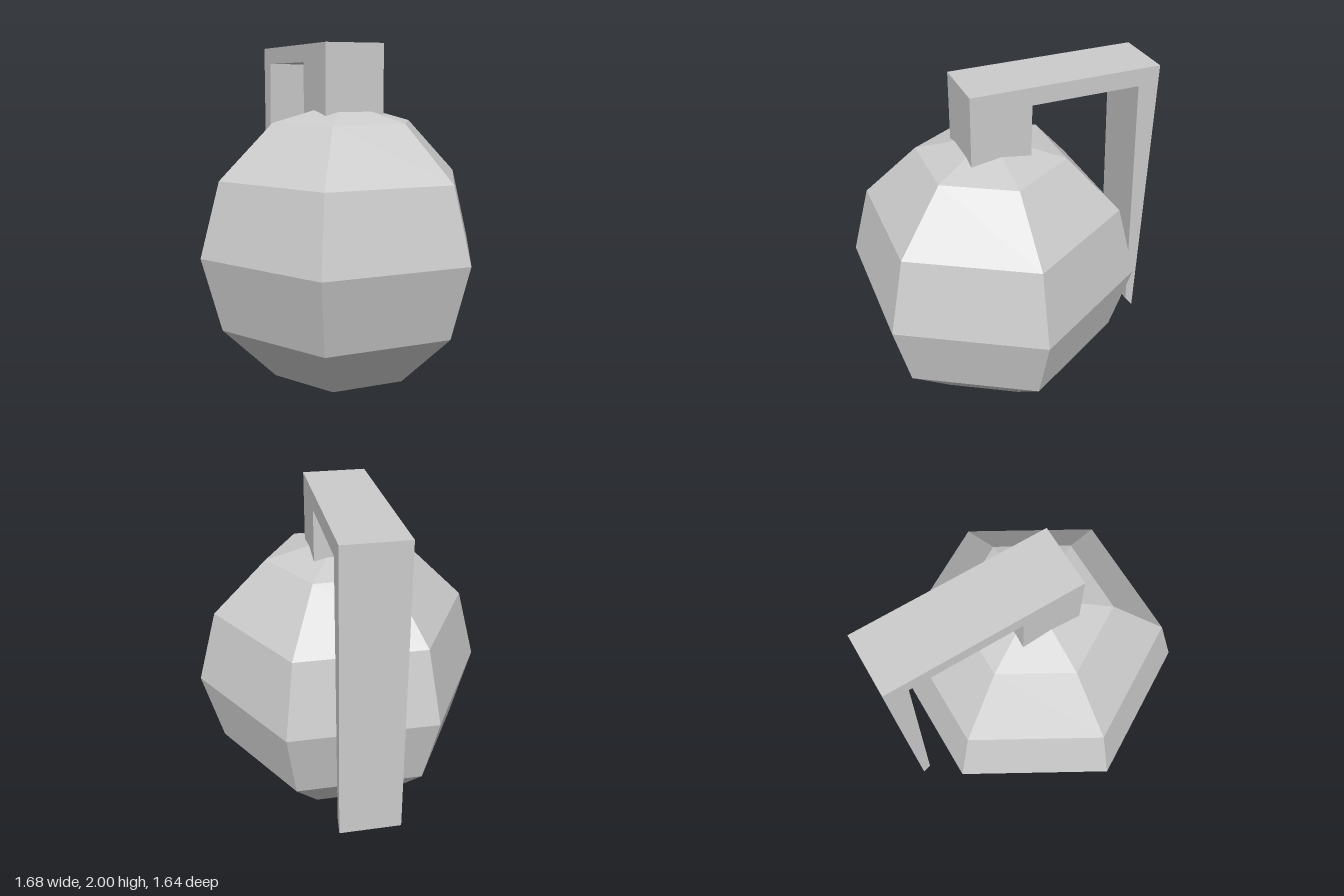
import * as THREE from 'three';

export function createModel() {
  const group = new THREE.Group();
  const material = new THREE.MeshStandardMaterial({ color: 0xcccccc, flatShading: true });

  // Six-sided low-poly body
  const radius = 0.84;
  const body = new THREE.Mesh(new THREE.SphereGeometry(radius, 6, 6), material);
  body.name = 'body';
  body.position.set(0, radius, 0.09);
  group.add(body);

  // Neck block, top arm and tapering lever as one side profile (z, y)
  const profile = new THREE.Shape([
    [0.26, 1.58], [0.26, 2], [-0.82, 2], [-0.82, 0.33],
    [-0.77, 0.395], [-0.70, 1.90], [-0.08, 1.90], [-0.08, 1.58],
  ].map(([z, y]) => new THREE.Vector2(z, y)));
  const width = 0.345;
  const leverGeometry = new THREE.ExtrudeGeometry(profile, { depth: width, bevelEnabled: false });
  leverGeometry.translate(0, 0, -width / 2).rotateY(-Math.PI / 2);
  const lever = new THREE.Mesh(leverGeometry, material);
  lever.name = 'neckAndLever';
  group.add(lever);

  return group;
}
